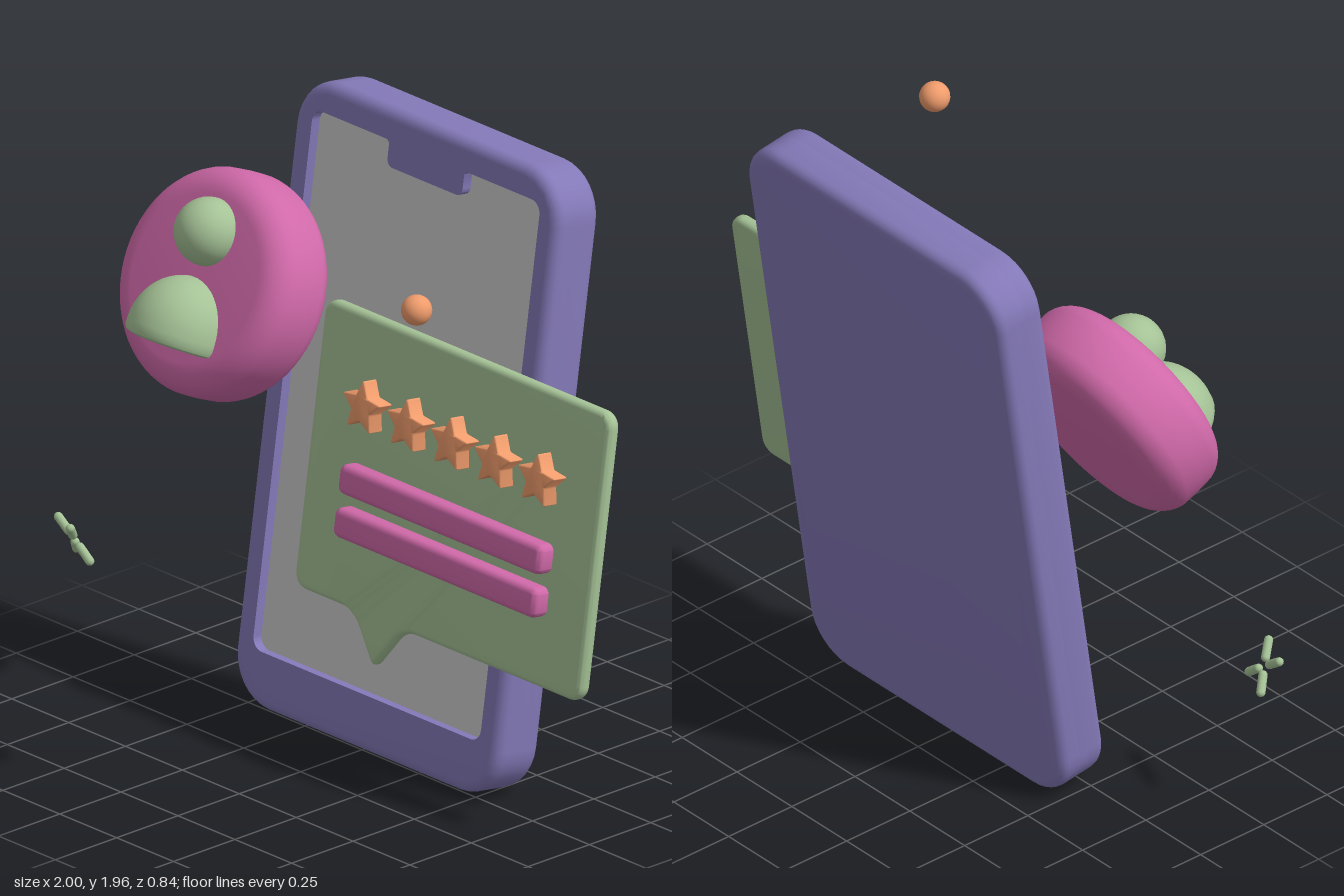
import * as THREE from 'three';
import { toCreasedNormals } from 'three/addons/utils/BufferGeometryUtils.js';

const mat = (color) => new THREE.MeshStandardMaterial({ color });
const violet = mat(0x8479b8), pink = mat(0xd069a9), green = mat(0xa5c296), orange = mat(0xf09c6c), grey = mat(0xcccccc);

function add(parent, name, geometry, material, x = 0, y = 0, z = 0) {
  const mesh = new THREE.Mesh(geometry, material);
  mesh.name = name;
  mesh.position.set(x, y, z);
  parent.add(mesh);
  return mesh;
}

// Closed outline from corners [x, y, radius], each corner rounded
function outline(corners) {
  const shape = new THREE.Shape();
  const n = corners.length;
  corners.forEach(([x, y, r], i) => {
    const p = new THREE.Vector2(x, y);
    const toward = (c, d) => new THREE.Vector2(c[0], c[1]).sub(p).setLength(d).add(p);
    const prev = corners[(i + n - 1) % n], next = corners[(i + 1) % n];
    const a = toward(prev, r), b = toward(next, r);
    const c1 = toward(prev, r * 0.45), c2 = toward(next, r * 0.45);
    if (i === 0) shape.moveTo(a.x, a.y);
    else shape.lineTo(a.x, a.y);
    shape.bezierCurveTo(c1.x, c1.y, c2.x, c2.y, b.x, b.y);
  });
  shape.closePath();
  return shape;
}

const rect = (x0, y0, x1, y1, r) => outline([[x0, y0, r], [x1, y0, r], [x1, y1, r], [x0, y1, r]]);

// Extrusion from z0 to z1 whose bevel stays inside the outline
function slab(shape, z0, z1, bevel) {
  return new THREE.ExtrudeGeometry(shape, {
    depth: z1 - z0 - 2 * bevel, bevelSize: bevel, bevelThickness: bevel, bevelOffset: -bevel,
    bevelSegments: 4, curveSegments: 8,
  }).translate(0, 0, z0 + bevel);
}
const creased = (g) => toCreasedNormals(g, 0.6);

function buildPhone() {
  const phone = new THREE.Group();
  phone.name = 'phone';
  phone.position.x = 0.04;
  const body = () => rect(-0.58, -0.985, 0.58, 0.985, 0.16);
  const opening = outline([
    [-0.5, -0.81, 0.04], [0.5, -0.81, 0.04], [0.5, 0.887, 0.04], [0.165, 0.887, 0.015],
    [0.165, 0.806, 0.025], [-0.165, 0.806, 0.025], [-0.165, 0.887, 0.015], [-0.5, 0.887, 0.04],
  ]);
  add(phone, 'phoneBack', creased(slab(body(), -0.09, 0.055, 0.035)), violet);

  // Front frame: rounded outside, with the bevel round the opening flattened to a sharp edge
  const frameShape = body();
  frameShape.holes.push(opening);
  const frame = slab(frameShape, -0.05, 0.09, 0.035);
  const p = frame.attributes.position;
  for (let i = 0; i < p.count; i++) {
    const x = Math.abs(p.getX(i)), y = Math.abs(p.getY(i));
    if (x < 0.54 && y < 0.925 && x + y < 1.415) p.setZ(i, p.getZ(i) > 0.02 ? 0.09 : -0.05);
  }
  add(phone, 'phoneFrame', creased(frame), violet);
  add(phone, 'screen', new THREE.ShapeGeometry(opening, 8), grey, 0, 0, 0.057);
  return phone;
}

function buildReview() {
  const review = new THREE.Group();
  review.name = 'reviewBubble';
  // Speech bubble with a tail
  const bubble = outline([
    [-0.26, -0.545, 0.05], [0.0, -0.545, 0.05], [0.11, -0.695, 0.02], [0.22, -0.545, 0.05],
    [1.0, -0.545, 0.05], [1.0, 0.363, 0.05], [-0.26, 0.363, 0.05],
  ]);
  add(review, 'bubble', creased(slab(bubble, 0.107, 0.152, 0.018)), green);

  // Rating stars
  const points = [];
  for (let i = 0; i < 10; i++) {
    const r = i % 2 ? 0.042 : 0.088, a = Math.PI / 2 + i * Math.PI / 5;
    points.push([r * Math.cos(a), r * Math.sin(a), i % 2 ? 0.004 : 0.01]);
  }
  const star = creased(slab(outline(points), 0.14, 0.205, 0.006));
  for (let i = 0; i < 5; i++) add(review, 'star', star, orange, -0.007 + i * 0.192, 0.095, 0);

  // Text bars
  const bar = creased(slab(rect(-0.445, -0.047, 0.445, 0.047, 0.025), 0.14, 0.208, 0.02));
  for (const y of [-0.142, -0.278]) add(review, 'textBar', bar, pink, 0.378, y, 0);
  return review;
}

function buildAvatar() {
  const avatar = new THREE.Group();
  avatar.name = 'avatar';
  avatar.position.set(-0.555, 1.36, 0.05);
  avatar.rotation.x = -THREE.MathUtils.degToRad(25);

  // Thick disc with a round rim
  const R = 0.35, h = 0.13, r = 0.092;
  const profile = [new THREE.Vector2(0, -h)];
  for (let i = 0; i <= 16; i++) {
    const a = -Math.PI / 2 + i * Math.PI / 16;
    profile.push(new THREE.Vector2(R - r + r * Math.cos(a), Math.sign(i - 8) * (h - r) + r * Math.sin(a)));
  }
  profile.push(new THREE.Vector2(0, h));
  add(avatar, 'avatarDisc', creased(new THREE.LatheGeometry(profile, 64).rotateX(Math.PI / 2)), pink);

  // Person: head and domed shoulders
  add(avatar, 'head', new THREE.SphereGeometry(0.105, 32, 20), green, 0, 0.145, 0.135);
  const dome = [[0, 0], [0.145, 0], [0.159, 0.006], [0.165, 0.02]].map(([x, y]) => new THREE.Vector2(x, y));
  for (let i = 0; i <= 12; i++) {
    const a = i * Math.PI / 24;
    dome.push(new THREE.Vector2(i === 12 ? 0 : 0.165 * Math.cos(a), 0.04 + 0.175 * Math.sin(a)));
  }
  add(avatar, 'shoulders', creased(new THREE.LatheGeometry(dome, 40)), green, 0, -0.212, 0.115);
  return avatar;
}

function buildSparks() {
  const sparks = new THREE.Group();
  sparks.name = 'sparks';
  sparks.position.set(-0.918, 0.502, 0.322);
  const up = new THREE.Vector3(0, 1, 0);
  const spark = new THREE.CapsuleGeometry(0.014, 0.054, 6, 12);
  for (const [x, y, z] of [[-0.047, 0.034, 0], [0.023, 0.038, 0.032], [-0.025, -0.037, -0.03], [0.047, -0.036, 0]]) {
    const mesh = add(sparks, 'spark', spark, green, x, y, z);
    mesh.quaternion.setFromUnitVectors(up, new THREE.Vector3(x, y, z).normalize());
  }
  return sparks;
}

export function createModel() {
  const model = new THREE.Group();
  model.name = 'phoneReview';
  // Phone and bubble lean back together
  const leaning = new THREE.Group();
  leaning.name = 'leaningPhone';
  leaning.position.set(0, 0.99, -0.187);
  leaning.rotation.x = -THREE.MathUtils.degToRad(8.45);
  leaning.add(buildPhone(), buildReview());
  model.add(leaning, buildAvatar(), buildSparks());
  add(model, 'floatingBall', new THREE.SphereGeometry(0.047, 24, 16), orange, 0.648, 1.74, 0.378);
  return model;
}
